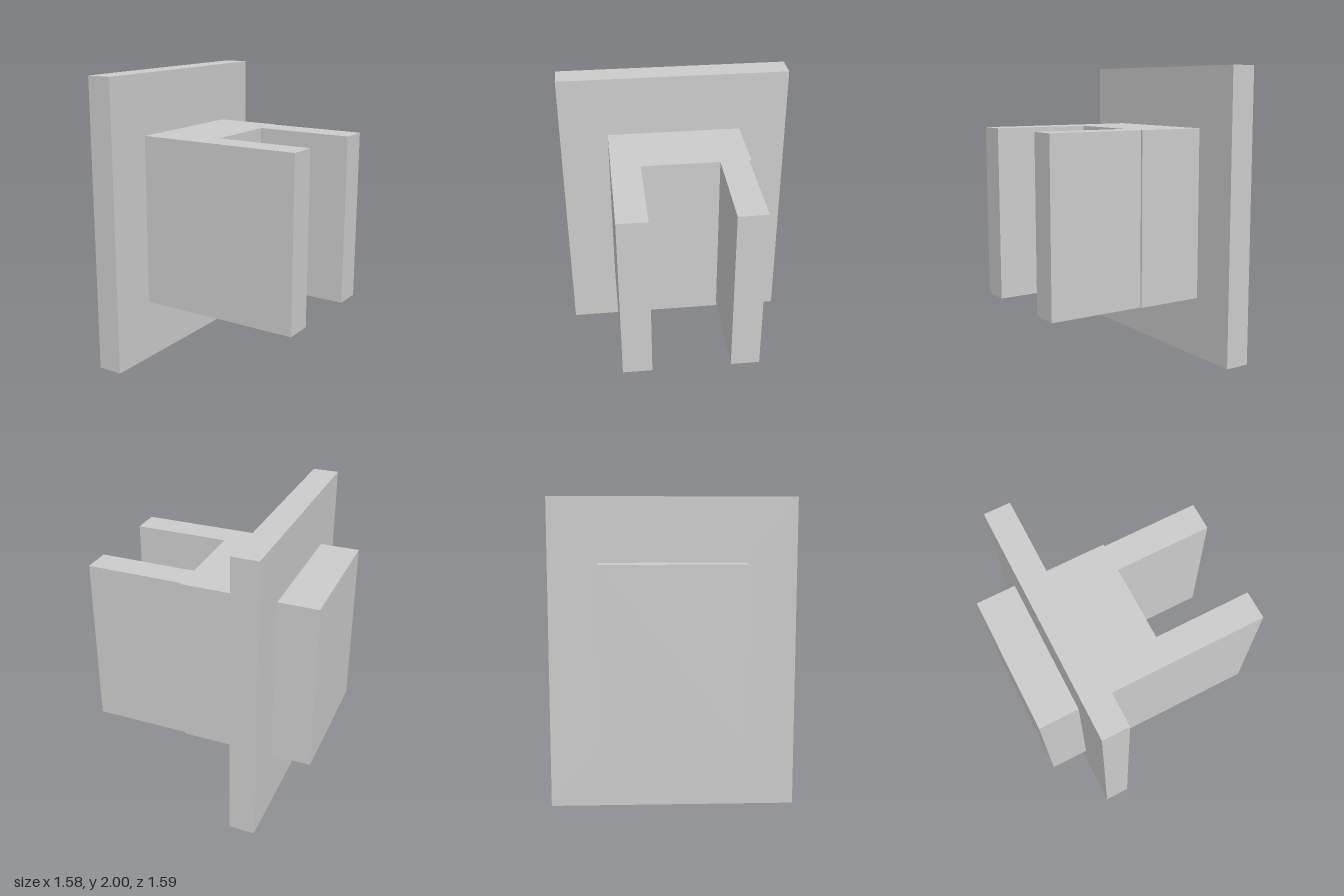
import * as THREE from 'three';

export function createModel() {
  const model = new THREE.Group();
  const material = new THREE.MeshStandardMaterial({ color: 0xcccccc, flatShading: true });

  // Upright rectangular flange plate
  const plate = new THREE.Mesh(new THREE.BoxGeometry(0.175, 2, 1.585), material);
  plate.name = 'flangePlate';
  plate.position.set(-0.435, 1, 0);
  model.add(plate);

  // Forked block: plan outline as [x, z], with a slot open towards +x
  // and a slight step where the back arm meets the block
  const outline = [
    [-0.79, 0.462], [0.787, 0.462], [0.787, 0.267], [0.12, 0.267],
    [0.12, -0.258], [0.787, -0.258], [0.787, -0.45], [0.12, -0.45],
    [0.12, -0.464], [-0.79, -0.464],
  ];
  const shape = new THREE.Shape(outline.map(([x, z]) => new THREE.Vector2(x, -z)));
  const geometry = new THREE.ExtrudeGeometry(shape, { depth: 1.17, bevelEnabled: false });
  geometry.rotateX(-Math.PI / 2);
  const fork = new THREE.Mesh(geometry, material);
  fork.name = 'forkedBlock';
  fork.position.y = 0.417;
  model.add(fork);

  return model;
}
